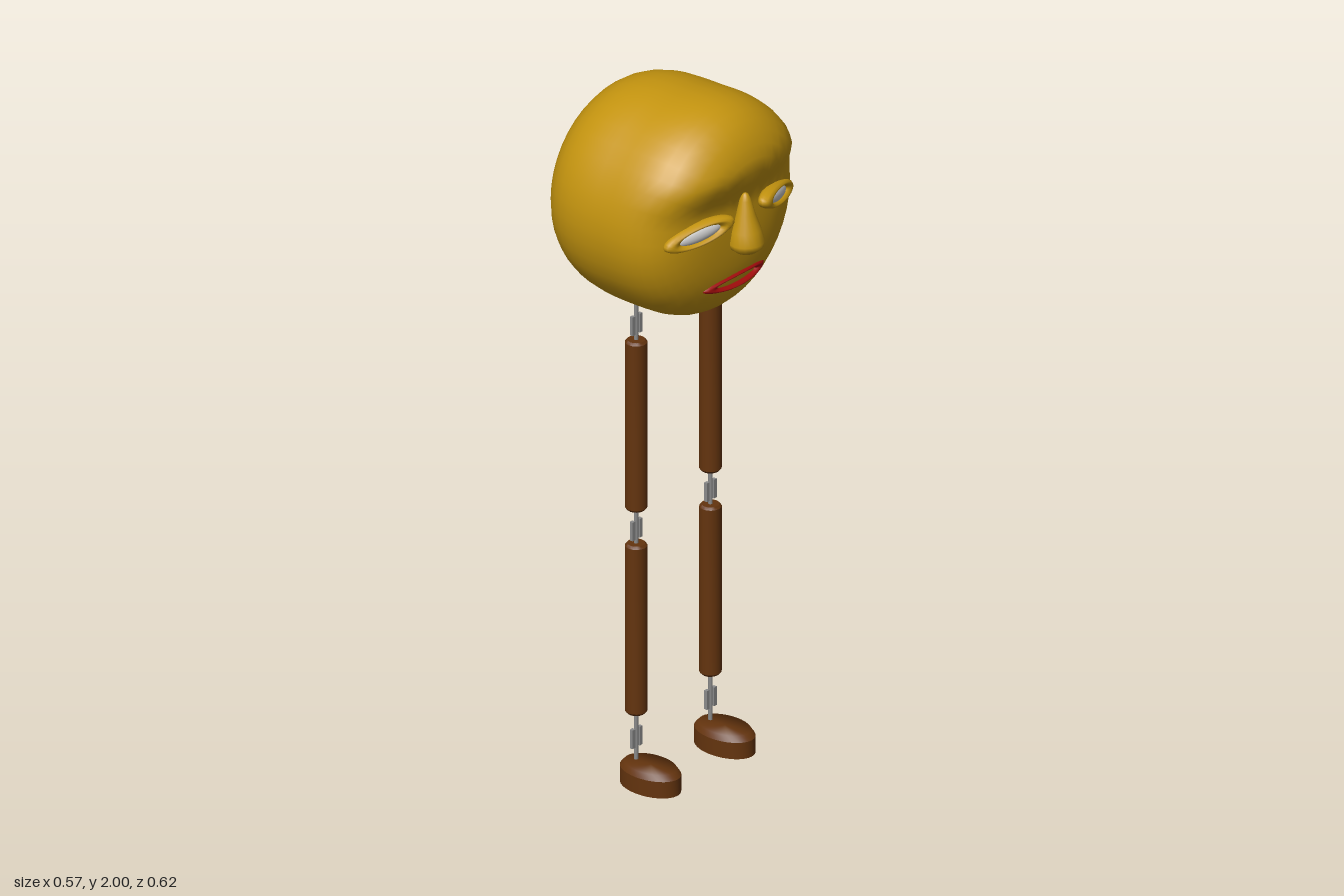
import * as THREE from 'three';
import { mergeVertices, toCreasedNormals } from 'three/addons/utils/BufferGeometryUtils.js';

const material = (color) => new THREE.MeshStandardMaterial({ color });
const skin = material(0xc4940f);
const wood = material(0x64340e);
const red = material(0xa00c0c);
const eyeGrey = material(0xcccccc);
const metal = material(0x8c8c8c);

function add(parent, name, geometry, mat, x = 0, y = 0, z = 0) {
  const mesh = new THREE.Mesh(geometry, mat);
  mesh.name = name;
  mesh.position.set(x, y, z);
  parent.add(mesh);
  return mesh;
}

// Smooth lathe profile whose hard edges stay crisp
function turned(points, sides) {
  const pts = points.map(([r, y]) => new THREE.Vector2(r, y));
  return toCreasedNormals(new THREE.LatheGeometry(pts, sides), 0.6);
}

// Thick rounded disc facing +x, with the face set back beneath a heavy brow
function headGeometry() {
  let g = new THREE.SphereGeometry(1, 40, 30);
  g.rotateZ(-Math.PI / 2);
  g.deleteAttribute('uv');
  g.deleteAttribute('normal');
  g = mergeVertices(g, 1e-4);
  const p = g.attributes.position;
  for (let i = 0; i < p.count; i++) {
    const c = p.getX(i);
    const r = Math.hypot(p.getY(i), p.getZ(i));
    const k = Math.pow(Math.pow(Math.abs(c), 3.1) + Math.pow(r, 3.1), -1 / 3.1);
    let x = c * k * 0.283;
    let y = p.getY(i) * k * 0.312;
    let z = p.getZ(i) * k * 0.311;
    const brow = THREE.MathUtils.smoothstep(y, 0.05, 0.15);
    if (x > 0) {
      x *= 0.78 + 0.19 * brow;
      y += 0.06 * x * brow;
      if (z > 0) z *= 1 + 0.12 * x * brow;
    }
    p.setXYZ(i, x, y, z);
  }
  g.computeVertexNormals();
  return g;
}

// Eye: almond lid ring around a flat eyeball, outer corner drooping
function eye(side) {
  const group = new THREE.Group();
  group.name = side > 0 ? 'rightEye' : 'leftEye';
  const lid = add(group, 'eyelid', new THREE.TorusGeometry(0.083, 0.024, 10, 32), skin);
  lid.scale.set(1, 0.3, 0.8);
  const ball = add(group, 'eyeball', new THREE.SphereGeometry(1, 24, 12), eyeGrey);
  ball.scale.set(0.07, 0.022, 0.016);
  group.position.set(0.213, 1.702, 0.01 + side * 0.155);
  group.rotation.set(0, Math.PI / 2 - side * 0.37, side * 0.2);
  return group;
}

// Lips: flattened ring wrapped round the face
function lipsGeometry() {
  const g = new THREE.TorusGeometry(0.1, 0.026, 10, 40);
  g.scale(1, 0.16, 0.6);
  g.rotateY(Math.PI / 2);
  const p = g.attributes.position;
  for (let i = 0; i < p.count; i++) p.setX(i, p.getX(i) - 1.3 * p.getZ(i) ** 2);
  g.computeVertexNormals();
  return g;
}

// Metal hinge: thin pins joined by a forked link
function hinge(name, bottom, top, linkY) {
  const group = new THREE.Group();
  group.name = name;
  add(group, 'pin', new THREE.CylinderGeometry(0.006, 0.006, top - bottom, 10), metal, 0, (top + bottom) / 2, 0);
  for (const s of [-1, 1]) {
    add(group, 'forkPlate', new THREE.BoxGeometry(0.01, 0.055, 0.011), metal, 0, linkY, s * 0.0145);
  }
  return group;
}

function leg(name, z) {
  const group = new THREE.Group();
  group.name = name;
  const rod = (h) => turned([[0, 0], [0.024, 0], [0.03, 0.007], [0.03, h - 0.007], [0.024, h], [0, h]], 16);
  add(group, 'lowerLeg', rod(0.5), wood, 0, 0.2, 0);
  add(group, 'upperLeg', rod(0.5), wood, 0, 0.8, 0);
  group.add(hinge('ankle', 0.05, 0.21, 0.127));
  group.add(hinge('knee', 0.69, 0.81, 0.74));
  group.add(hinge('hip', 1.29, 1.42, 1.345));
  // Oval wooden foot with a bevelled top edge
  const profile = [[0, 0], [1, 0], [1, 0.048], [0.86, 0.063], [0, 0.063]];
  const foot = add(group, 'foot', turned(profile, 32), wood, 0.05, 0, 0);
  foot.scale.set(0.093, 1, 0.061);
  group.position.set(-0.03, 0, z);
  return group;
}

export function createModel() {
  const model = new THREE.Group();
  model.name = 'puppet';

  add(model, 'head', headGeometry(), skin, -0.003, 1.685, 0);
  for (const side of [-1, 1]) model.add(eye(side));

  // Teardrop nose
  const nosePoints = [[0, 0], [0.03, 0.003], [0.045, 0.015], [0.049, 0.03], [0.041, 0.065], [0.026, 0.11], [0.016, 0.15], [0.008, 0.168], [0, 0.172]];
  const nose = add(model, 'nose', new THREE.LatheGeometry(nosePoints.map(([r, y]) => new THREE.Vector2(r, y)), 20), skin, 0.237, 1.596, 0);
  nose.rotation.z = 0.03;

  add(model, 'lips', lipsGeometry(), red, 0.202, 1.506, 0);

  model.add(leg('rightLeg', 0.135), leg('leftLeg', -0.165));
  return model;
}
